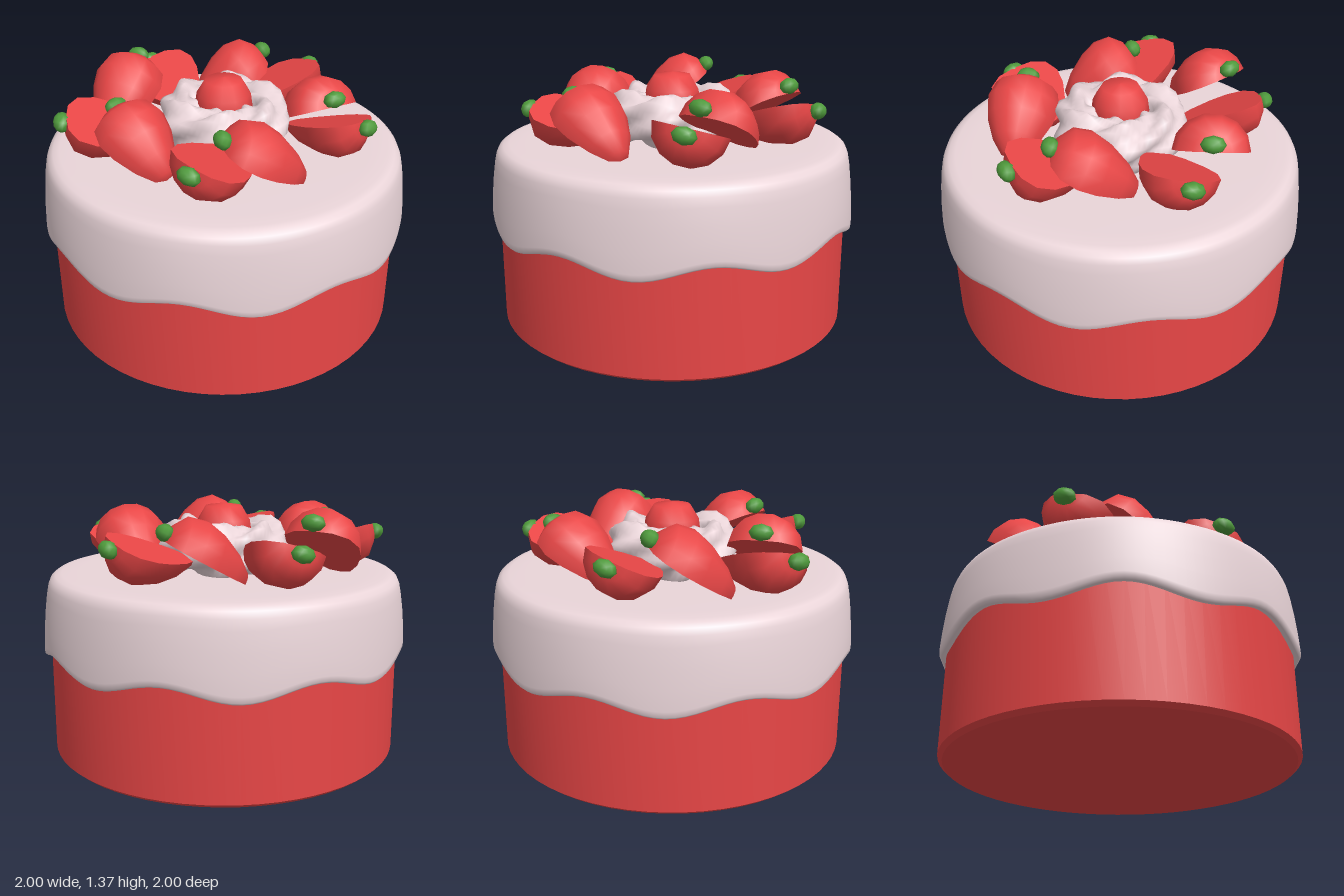
import * as THREE from 'three';
import { mergeGeometries, mergeVertices, toCreasedNormals } from 'three/addons/utils/BufferGeometryUtils.js';

const material = (color) => new THREE.MeshStandardMaterial({ color });
const red = material(0xe84646);
const cream = material(0xead5d9);
const green = material(0x4f9a3c);

const points = (list) => list.map(([x, y]) => new THREE.Vector2(x, y));

function addMesh(parent, name, geometry, mat) {
  const mesh = new THREE.Mesh(geometry, mat);
  mesh.name = name;
  parent.add(mesh);
  return mesh;
}

// Moves every vertex by a rule, then welds seams and smooths the normals
function reshape(geometry, rule) {
  const pos = geometry.attributes.position;
  const v = new THREE.Vector3();
  for (let i = 0; i < pos.count; i++) {
    rule(v.fromBufferAttribute(pos, i));
    pos.setXYZ(i, v.x, v.y, v.z);
  }
  geometry.deleteAttribute('uv');
  geometry.deleteAttribute('normal');
  const welded = mergeVertices(geometry, 1e-4);
  welded.computeVertexNormals();
  return welded;
}

// Icing cap whose lower rim dips in eight soft waves
function icingGeometry() {
  const profile = points([[0.94, 0.59], [0.965, 0.572], [0.985, 0.57], [0.998, 0.582], [1, 0.61], [0.995, 0.7],
    [0.986, 0.8], [0.974, 0.89], [0.964, 0.94], [0.95, 0.972], [0.925, 0.99], [0.89, 0.998], [0.8, 1], [0, 1]]);
  return reshape(new THREE.LatheGeometry(profile, 128), (v) => {
    const weight = THREE.MathUtils.clamp((0.98 - v.y) / 0.4, 0, 1);
    v.y -= 0.035 * weight * Math.cos(8 * Math.atan2(v.x, v.z));
  });
}

// Twisted ring of piped cream with ridges
function swirlGeometry() {
  const ring = 0.235;
  return reshape(new THREE.TorusGeometry(ring, 0.12, 20, 72).rotateX(Math.PI / 2), (v) => {
    const around = Math.atan2(v.z, v.x);
    const tube = Math.atan2(v.y, Math.hypot(v.x, v.z) - ring);
    const r = 0.118 + 0.022 * Math.cos(5 * tube + 6 * around) + 0.012 * Math.cos(6 * around);
    const radius = ring + r * Math.cos(tube);
    v.set(radius * Math.cos(around), 1.125 + 1.08 * r * Math.sin(tube), radius * Math.sin(around));
  });
}

// Half strawberry: tip at the origin, stem end up +y, rounded side +x, cut face -x
const BERRY_LENGTH = 0.47;
function halfBerryGeometry() {
  const profile = points([[0, 0], [0.06, 0.015], [0.125, 0.1], [0.18, 0.22], [0.2, 0.32], [0.175, 0.41],
    [0.1, 0.46], [0, BERRY_LENGTH]]);
  const skin = new THREE.LatheGeometry(profile, 7, 0, Math.PI);
  const mirrored = profile.slice(1, -1).reverse().map((p) => new THREE.Vector2(-p.x, p.y));
  const cut = new THREE.ShapeGeometry(new THREE.Shape([...profile, ...mirrored])).rotateY(-Math.PI / 2);
  return toCreasedNormals(mergeGeometries([skin.toNonIndexed(), cut.toNonIndexed()]), 0.95);
}

// Lays a berry half from tip to stem with its rounded side along the given direction
function placeBerry(group, tip, stem, rounded) {
  const axis = stem.clone().sub(tip);
  const length = axis.length();
  axis.normalize();
  const x = rounded.clone().addScaledVector(axis, -rounded.dot(axis)).normalize();
  const z = x.clone().cross(axis);
  group.quaternion.setFromRotationMatrix(new THREE.Matrix4().makeBasis(x, axis, z));
  group.position.copy(tip);
  group.scale.set(0.95, length / BERRY_LENGTH, 1);
}

// Each pair: x, z of the upper half's stem and tip, then of the lower half's stem and tip
const PAIRS = [
  [[-0.15, -0.63], [-0.38, -0.29], [0.06, -0.77], [-0.03, -0.31]],
  [[0.54, -0.24], [0.17, -0.44], [0.73, -0.21], [0.29, -0.2]],
  [[0.31, 0.47], [0.58, 0.15], [0.3, 0.69], [0.28, 0.23]],
  [[-0.36, 0.46], [0.03, 0.55], [-0.56, 0.62], [-0.24, 0.28]],
  [[-0.65, -0.09], [-0.57, 0.31], [-0.72, -0.27], [-0.3, -0.1]],
];

export function createModel() {
  const model = new THREE.Group();
  model.name = 'strawberryCake';

  // Sponge with a small bevel at the foot
  const sponge = points([[0, 0], [0.935, 0], [0.96, 0.022], [0.96, 0.7]]);
  addMesh(model, 'sponge', toCreasedNormals(new THREE.LatheGeometry(sponge, 64), 0.5), red);
  addMesh(model, 'icing', icingGeometry(), cream).material.side = THREE.DoubleSide;

  // Cream swirl with a berry in the middle
  addMesh(model, 'creamSwirl', swirlGeometry(), cream);
  const centre = points([[0, 1], [0.09, 1.04], [0.14, 1.12], [0.155, 1.2], [0.145, 1.27], [0.1, 1.345], [0, 1.36]]);
  addMesh(model, 'centreBerry', new THREE.LatheGeometry(centre, 12), red);

  // Five pairs of berry halves, one leaning on the other
  const berryGeometry = halfBerryGeometry();
  const leafGeometry = new THREE.SphereGeometry(1, 8, 6).scale(0.048, 0.045, 0.065);
  const at = ([x, z], y) => new THREE.Vector3(x, y, z);
  const up = new THREE.Vector3(0, 1, 0);

  function addBerry(name, tip, stem, rounded) {
    const berry = new THREE.Group();
    berry.name = name;
    addMesh(berry, 'berryHalf', berryGeometry, red);
    addMesh(berry, 'leaf', leafGeometry, green).position.set(0.04, BERRY_LENGTH + 0.015, 0);
    placeBerry(berry, tip, stem, rounded);
    model.add(berry);
  }

  PAIRS.forEach(([upperStem, upperTip, lowerStem, lowerTip], i) => {
    const stem = at(upperStem, i === 4 ? 1.27 : 1.235);
    const tip = at(upperTip, 1);
    addBerry('upperBerry' + (i + 1), tip, stem, up);

    const lowStem = at(lowerStem, 1.22);
    const lowTip = at(lowerTip, 1.1);
    const lean = stem.clone().add(tip).sub(lowStem).sub(lowTip).setY(0).normalize();
    addBerry('lowerBerry' + (i + 1), lowTip, lowStem, up.clone().addScaledVector(lean, 0.3).negate());
  });

  return model;
}
